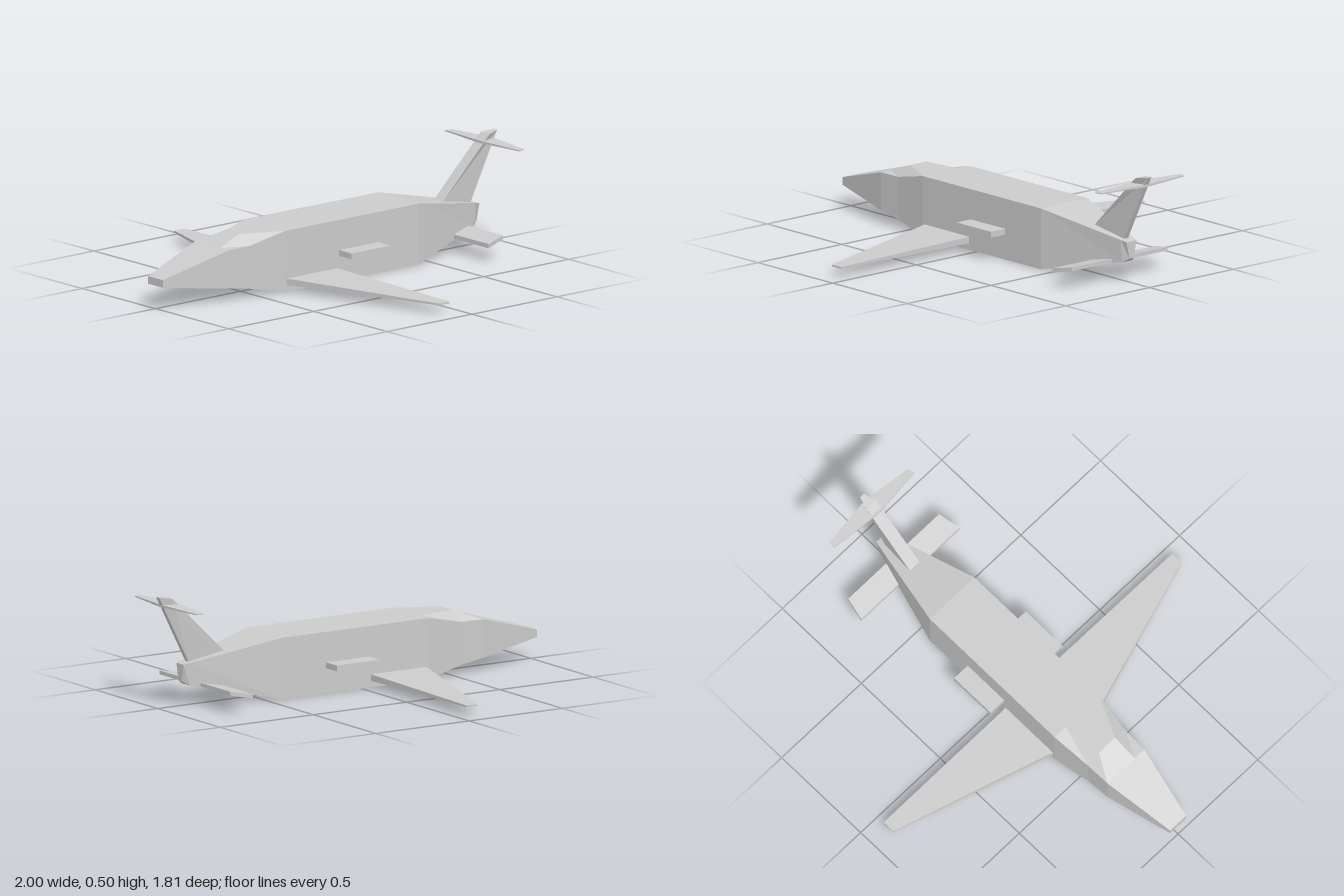
import * as THREE from 'three';

const material = new THREE.MeshStandardMaterial({ color: 0xcccccc, flatShading: true });

// Skins a row of closed rings (counter-clockwise seen from the last ring) and caps both ends.
function loft(name, rings) {
  const n = rings[0].length;
  const last = (rings.length - 1) * n;
  const index = [];
  for (let r = 0; r < last; r += n) {
    for (let i = 0; i < n; i++) {
      const j = (i + 1) % n;
      index.push(r + i, r + j, r + n + j, r + i, r + n + j, r + n + i);
    }
  }
  for (let i = 1; i < n - 1; i++) {
    index.push(0, i + 1, i, last, last + i, last + i + 1);
  }
  const indexed = new THREE.BufferGeometry();
  indexed.setAttribute('position', new THREE.Float32BufferAttribute(rings.flat(2), 3));
  indexed.setIndex(index);
  const geometry = indexed.toNonIndexed();
  geometry.computeVertexNormals();
  const mesh = new THREE.Mesh(geometry, material);
  mesh.name = name;
  return mesh;
}

// Builds a symmetric surface across z from stations [z, front x, rear x, ...heights],
// heights being front bottom, front top, rear bottom, rear top.
function crossSurface(name, root, tip) {
  const ring = ([zFront, zRear, xf, xr, fb, ft, rb, rt], side) => [
    [xf, fb, side * zFront], [xr, rb, side * zRear], [xr, rt, side * zRear], [xf, ft, side * zFront],
  ];
  return loft(name, [ring(tip, -1), ring(root, -1), ring(root, 1), ring(tip, 1)]);
}

export function createModel() {
  const group = new THREE.Group();
  group.name = 'aircraft';

  // Fuselage: x, bottom, shoulder, top, bottom half width, shoulder half width, roof half width
  const stations = [
    [-1, 0.105, 0.14, 0.14, 0.05, 0.05, 0.025],
    [-0.67, 0.06, 0.235, 0.235, 0.115, 0.115, 0.055],
    [-0.55, 0.042, 0.237, 0.28, 0.118, 0.118, 0.05],
    [-0.36, 0, 0.28, 0.28, 0.14, 0.14, 0.07],
    [0.43, 0, 0.28, 0.28, 0.14, 0.14, 0.07],
    [0.85, 0.093, 0.196, 0.196, 0.032, 0.037, 0.02],
    [0.88, 0.112, 0.19, 0.19, 0.012, 0.03, 0.015],
  ];
  group.add(loft('fuselage', stations.map(([x, yb, ys, yt, wb, ws, wt]) => [
    [x, yt, wt], [x, ys, ws], [x, yb, wb], [x, yb, -wb], [x, ys, -ws], [x, yt, -wt],
  ])));

  // Swept main wing
  group.add(crossSurface('mainWing',
    [0.135, 0.135, -0.35, -0.05, 0.03, 0.06, 0.03, 0.06],
    [0.905, 0.905, -0.11, -0.05, 0.04, 0.048, 0.04, 0.048]));

  // Side pods
  for (const side of [1, -1]) {
    const pod = new THREE.Mesh(new THREE.BoxGeometry(0.23, 0.027, 0.1), material);
    pod.position.set(0.075, 0.128, side * 0.175);
    pod.name = side > 0 ? 'leftPod' : 'rightPod';
    group.add(pod);
  }

  // Lower tailplane, tilted up toward the rear
  group.add(crossSurface('lowerTailplane',
    [0.03, 0.03, 0.695, 0.8, 0.063, 0.083, 0.085, 0.102],
    [0.308, 0.285, 0.695, 0.8, 0.063, 0.083, 0.085, 0.102]));

  // Swept fin, thinner at its trailing edge
  const finRing = (xf, yf, xr, yr) => [
    [xf, yf, -0.03], [xf, yf, 0.03], [xr, yr, 0.012], [xr, yr, -0.012],
  ];
  group.add(loft('fin', [finRing(0.66, 0.225, 0.84, 0.19), finRing(0.94, 0.497, 1, 0.505)]));

  // Small tailplane on top of the fin
  group.add(crossSurface('upperTailplane',
    [0.02, 0.02, 0.9, 0.982, 0.459, 0.47, 0.459, 0.47],
    [0.252, 0.245, 0.922, 0.956, 0.461, 0.466, 0.461, 0.466]));

  return group;
}
